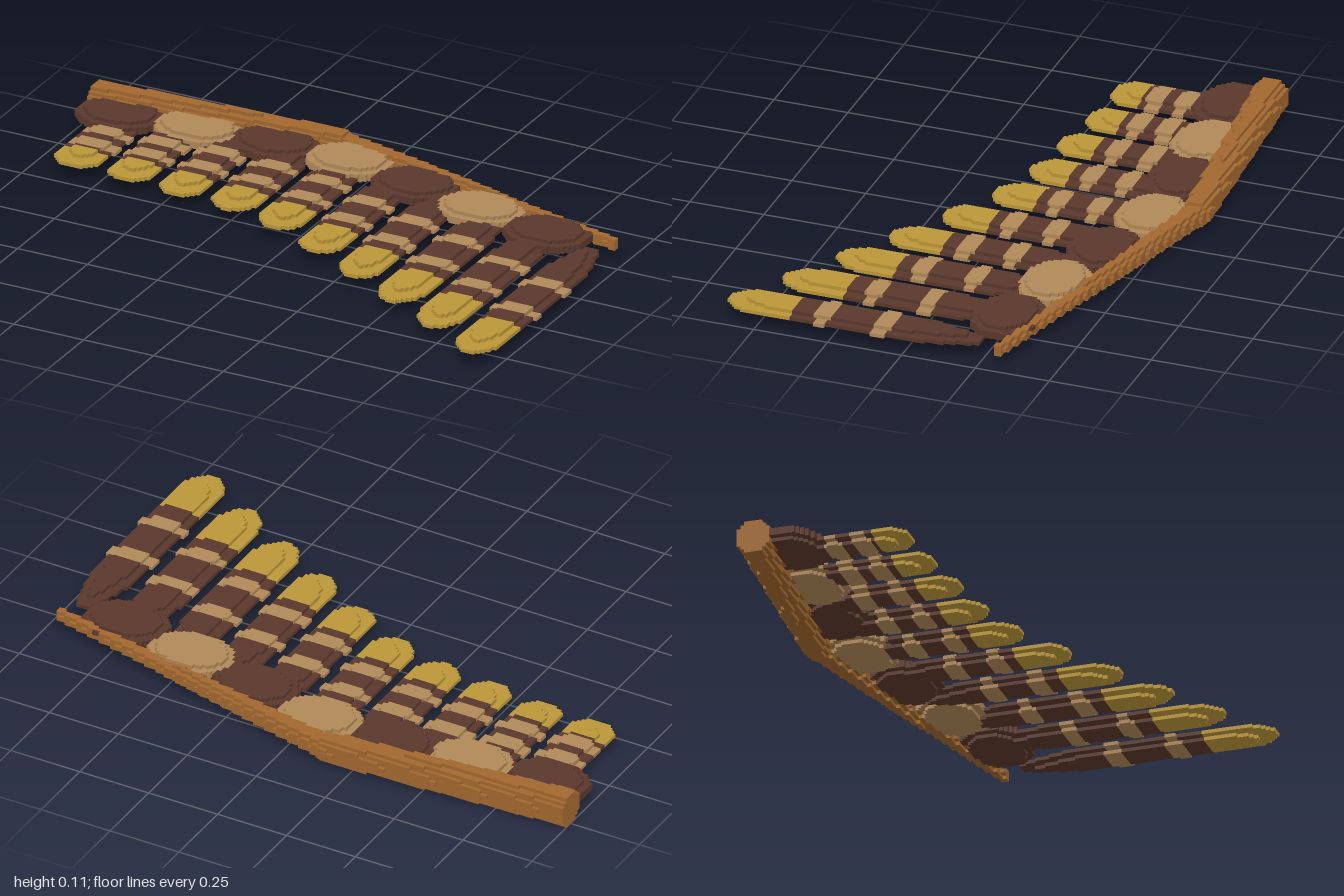
import * as THREE from 'three';

const V = 2 / 167;                 // edge of one little cube
const NX = 167, NY = 9, NZ = 102;  // grid size
const MID = 4.5 * V;               // height of the wing's middle layer

const mat = (name, color) => Object.assign(new THREE.MeshStandardMaterial({ color }), { name });

// the six cube faces: direction and four corners, counter-clockwise from outside
const FACES = [
  [[1, 0, 0], [[1, 0, 0], [1, 1, 0], [1, 1, 1], [1, 0, 1]]],
  [[-1, 0, 0], [[0, 0, 0], [0, 0, 1], [0, 1, 1], [0, 1, 0]]],
  [[0, 1, 0], [[0, 1, 0], [0, 1, 1], [1, 1, 1], [1, 1, 0]]],
  [[0, -1, 0], [[0, 0, 0], [1, 0, 0], [1, 0, 1], [0, 0, 1]]],
  [[0, 0, 1], [[0, 0, 1], [1, 0, 1], [1, 1, 1], [0, 1, 1]]],
  [[0, 0, -1], [[0, 0, 0], [0, 1, 0], [1, 1, 0], [1, 0, 0]]],
];

export function createModel() {
  const wing = new THREE.Group();
  wing.name = 'wing';
  const gold = mat('gold', 0xba9638);
  const brown = mat('darkBrown', 0x5a382b);
  const tan = mat('tan', 0xb08858);
  const wood = mat('copperBrown', 0xa2682f);

  const cells = new Array(NX * NY * NZ).fill(null);
  const parts = [];
  const index = (i, j, k) => (i * NY + j) * NZ + k;
  const cellAt = (i, j, k) =>
    i < 0 || j < 0 || k < 0 || i >= NX || j >= NY || k >= NZ ? null : cells[index(i, j, k)];

  function addPart(name, material, parent = wing) {
    const part = { name, material, parent };
    parts.push(part);
    return part;
  }

  // give every cube for which the rule names a part to that part
  function fill(rule) {
    for (let i = 0; i < NX; i++) for (let j = 0; j < NY; j++) for (let k = 0; k < NZ; k++) {
      const part = rule(-1 + (i + 0.5) * V, j, (k + 0.5 - NZ / 2) * V);
      if (part) cells[index(i, j, k)] = part;
    }
  }

  // long feathers: root z and tip z, from the short inner one to the long outer one
  const feathers = [
    [-0.42, -0.022], [-0.45, -0.012], [-0.49, 0.013], [-0.49, 0.03], [-0.48, 0.085],
    [-0.42, 0.18], [-0.39, 0.287], [-0.355, 0.39], [-0.3, 0.5], [-0.236, 0.612],
  ];
  feathers.forEach(([root, tip], n) => {
    const group = new THREE.Group();
    group.name = `feather${n + 1}`;
    wing.add(group);
    const shaft = addPart('featherShaft', brown, group);
    const band = addPart('featherBands', tan, group);
    const end = addPart('featherTip', gold, group);
    const cx = -0.837 + n * 0.1947, length = tip - root;

    // half width along the feather, pointed at the root and rounded at the tip
    const halfWidth = (z) => {
      const t = (z - root) / length;
      if (t < 0 || t > 1) return 0;
      const grow = t < 0.3 ? 0.3 + 0.7 * Math.sin((t / 0.3) * Math.PI / 2) : 1;
      const u = Math.max(0, (t - 0.86) / 0.14);
      return 0.075 * grow * Math.max(0.28, Math.sqrt(1 - u * u));
    };
    fill((x, j, z) => {
      if (j < 3 || j > 5) return null;
      const dx = Math.abs(x - cx), t = (z - root) / length;
      if (dx > 0.09) return null;
      const onBand = [0.375, 0.607].some((b) =>
        Math.abs(z - root - b * length) < (dx < 0.045 ? 0.029 : 0.021));
      // the top and bottom layers are set in from the edge
      const inset = j === 4 ? 0 : 0.03;
      const wide = Math.min(halfWidth(z), halfWidth(z + inset * 1.4)) - inset;
      if (dx > wide + (onBand ? 0.008 : 0)) return null;
      if (onBand) return band;
      return t > 0.725 ? end : shaft;
    });
  });

  // overlapping round covert feathers in alternating colours
  [-0.41, -0.43, -0.452, -0.446, -0.387, -0.322, -0.264].forEach((cz, n) => {
    const disc = addPart(`covert${n + 1}`, n % 2 ? tan : brown);
    const cx = -0.863 + n * 0.2675;
    fill((x, j, z) => {
      if (j < 3 || j > 6) return null;
      const inset = j === 3 || j === 6 ? 0.024 : 0;
      return Math.hypot((x - cx) / (0.143 - inset), (z - cz) / (0.112 - inset)) < 1 ? disc : null;
    });
  });

  // bent, tapering arm bone along the leading edge
  const arm = addPart('wingArm', wood), hand = addPart('wingHand', wood);
  const lerp = THREE.MathUtils.lerp, bend = -0.14, end = 0.965;
  fill((x, j, z) => {
    if (x > end) return null;
    const inner = x < bend;
    const t = inner ? (x + 1) / (bend + 1) : (x - bend) / (end - bend);
    const cz = inner ? lerp(-0.495, -0.565, t) : lerp(-0.565, -0.31, t);
    const r = inner ? lerp(0.056, 0.044, t) : lerp(0.036, 0.015, t);
    return Math.hypot((j + 0.5) * V - MID, z - cz) < r ? (inner ? arm : hand) : null;
  });

  // gather the exposed cube faces of each part
  const points = new Map(parts.map((p) => [p, { position: [], normal: [] }]));
  for (let i = 0; i < NX; i++) for (let j = 0; j < NY; j++) for (let k = 0; k < NZ; k++) {
    const part = cellAt(i, j, k);
    if (!part) continue;
    const { position, normal } = points.get(part);
    for (const [d, corners] of FACES) {
      if (cellAt(i + d[0], j + d[1], k + d[2])) continue;
      for (const c of [0, 1, 2, 0, 2, 3]) {
        const [a, b, e] = corners[c];
        position.push(-1 + (i + a) * V, (j + b) * V, (k + e - NZ / 2) * V);
        normal.push(...d);
      }
    }
  }
  for (const [part, { position, normal }] of points) {
    if (!position.length) continue;
    const geometry = new THREE.BufferGeometry();
    geometry.setAttribute('position', new THREE.Float32BufferAttribute(position, 3));
    geometry.setAttribute('normal', new THREE.Float32BufferAttribute(normal, 3));
    const mesh = new THREE.Mesh(geometry, part.material);
    mesh.name = part.name;
    part.parent.add(mesh);
  }
  return wing;
}
